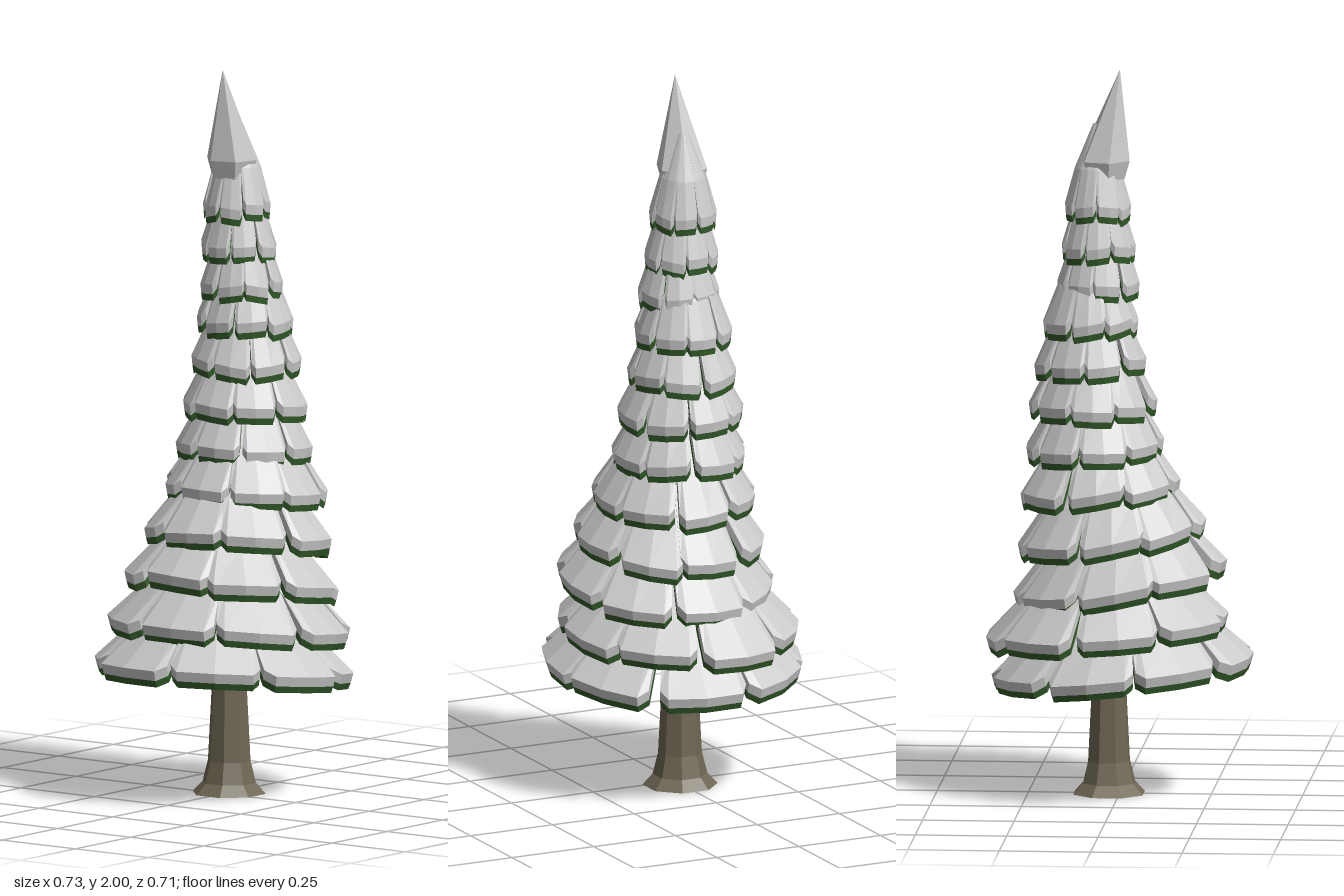
import * as THREE from 'three';
import { mergeGeometries } from 'three/addons/utils/BufferGeometryUtils.js';

const snow = new THREE.MeshStandardMaterial({ color: 0xcccccc, flatShading: true });
const needles = new THREE.MeshStandardMaterial({ color: 0x335c2a, flatShading: true });
const bark = new THREE.MeshStandardMaterial({ color: 0x6f6754, flatShading: true });

// Each tier: rim height, rim radius, centre x, centre z, sideways tilt, turn in degrees
const TIERS = [
  [0.36, 0.355, -0.005, 0.0, -0.09, 32],
  [0.47, 0.33, 0.03, 0.005, -0.09, 7],
  [0.595, 0.295, 0.0, 0.03, -0.16, 0],
  [0.72, 0.258, 0.03, 0.03, -0.15, 4],
  [0.845, 0.222, 0.058, 0.035, -0.1, 0],
  [0.96, 0.187, 0.068, 0.025, -0.06, 10],
  [1.08, 0.172, 0.075, 0.02, -0.05, 3],
  [1.195, 0.152, 0.08, 0.02, -0.03, 20],
  [1.305, 0.132, 0.08, 0.015, -0.03, 0],
  [1.41, 0.113, 0.06, 0.02, -0.03, 18],
  [1.515, 0.102, 0.06, 0.01, -0.02, 2],
  [1.625, 0.092, 0.06, 0.005, -0.02, 22],
];
const BOUGHS = 8;

let seed = 7;
const jitter = (amount) => {
  seed = (seed * 16807) % 2147483647;
  return (seed / 2147483647 - 0.5) * 2 * amount;
};

// A box bent into a bough: x runs round the tree, y is thickness, z runs outwards
function bough(angle, radius, rimY, thickness, twist) {
  const geo = new THREE.BoxGeometry(1, 1, 1, 4, 1, 2);
  const p = geo.attributes.position;
  const across = [-1, -0.8, 0, 0.8, 1];
  const radii = [0.15, 0.7, 1];
  const rise = [0.22, 0.1, 0];
  for (let i = 0; i < p.count; i++) {
    const col = Math.round((p.getX(i) + 0.5) * 4);
    const row = Math.round((p.getZ(i) + 0.5) * 2);
    const under = p.getY(i) < 0;
    const u = across[col];
    let r = radius * radii[row];
    let y = rimY + rise[row];
    let spread = 1;
    if (row === 2) {
      // cut corners and a small gap at the rim
      spread = 0.96;
      if (Math.abs(u) === 1) { r *= 0.93; y += 0.015; }
      y += twist * u;
    }
    if (under) { y -= thickness; r *= 0.98; }
    const a = angle + (u * spread * Math.PI) / BOUGHS;
    p.setXYZ(i, Math.sin(a) * r, y, Math.cos(a) * r);
  }
  geo.computeVertexNormals();
  return geo;
}

function addMesh(parent, name, geometry, material) {
  const mesh = new THREE.Mesh(geometry, material);
  mesh.name = name;
  parent.add(mesh);
  return mesh;
}

// Leans a tier to one side and moves it to its centre
function place(geo, cx, cz, tilt) {
  const p = geo.attributes.position;
  for (let i = 0; i < p.count; i++) {
    p.setXYZ(i, p.getX(i) + cx, p.getY(i) + tilt * p.getX(i), p.getZ(i) + cz);
  }
  geo.computeVertexNormals();
  return geo;
}

const profile = (points) => points.map(([r, y]) => new THREE.Vector2(r, y));

export function createModel() {
  const tree = new THREE.Group();
  tree.name = 'snowyFirTree';

  // Flared eight-sided trunk
  const trunk = new THREE.LatheGeometry(
    profile([[0, 0], [0.103, 0], [0.075, 0.03], [0.06, 0.09], [0.048, 0.32], [0.02, 1.3], [0, 1.3]]), 8, Math.PI / 8);
  trunk.translate(0.03, 0, 0);
  addMesh(tree, 'trunk', trunk, bark);

  // Tiers of snow-covered boughs
  TIERS.forEach(([y, radius, cx, cz, tilt, turn], t) => {
    const tier = new THREE.Group();
    tier.name = `tier${t + 1}`;
    const snowParts = [];
    const greenParts = [];
    const snowDepth = 0.027;
    for (let k = 0; k < BOUGHS; k++) {
      const angle = THREE.MathUtils.degToRad(turn) + (k * 2 * Math.PI) / BOUGHS + jitter(0.04);
      const r = radius * (1 + jitter(0.025));
      const rimY = y + jitter(0.006);
      const twist = jitter(0.008);
      snowParts.push(bough(angle, r, rimY, snowDepth, twist));
      greenParts.push(bough(angle, r * 0.98, rimY - snowDepth, 0.018, twist));
    }
    addMesh(tier, 'snowLayer', place(mergeGeometries(snowParts), cx, cz, tilt), snow);
    addMesh(tier, 'needleLayer', place(mergeGeometries(greenParts), cx, cz, tilt), needles);
    tree.add(tier);
  });

  // Snowy tip, leaning so its point stands over the middle
  const tip = new THREE.LatheGeometry(
    profile([[0, 1.73], [0.058, 1.7], [0.073, 1.75], [0, 2]]), 6, 0.25);
  const p = tip.attributes.position;
  for (let i = 0; i < p.count; i++) {
    p.setX(i, p.getX(i) + 0.042 * Math.min(1, (2 - p.getY(i)) / 0.25));
  }
  tip.computeVertexNormals();
  addMesh(tree, 'treeTip', tip, snow);

  return tree;
}
